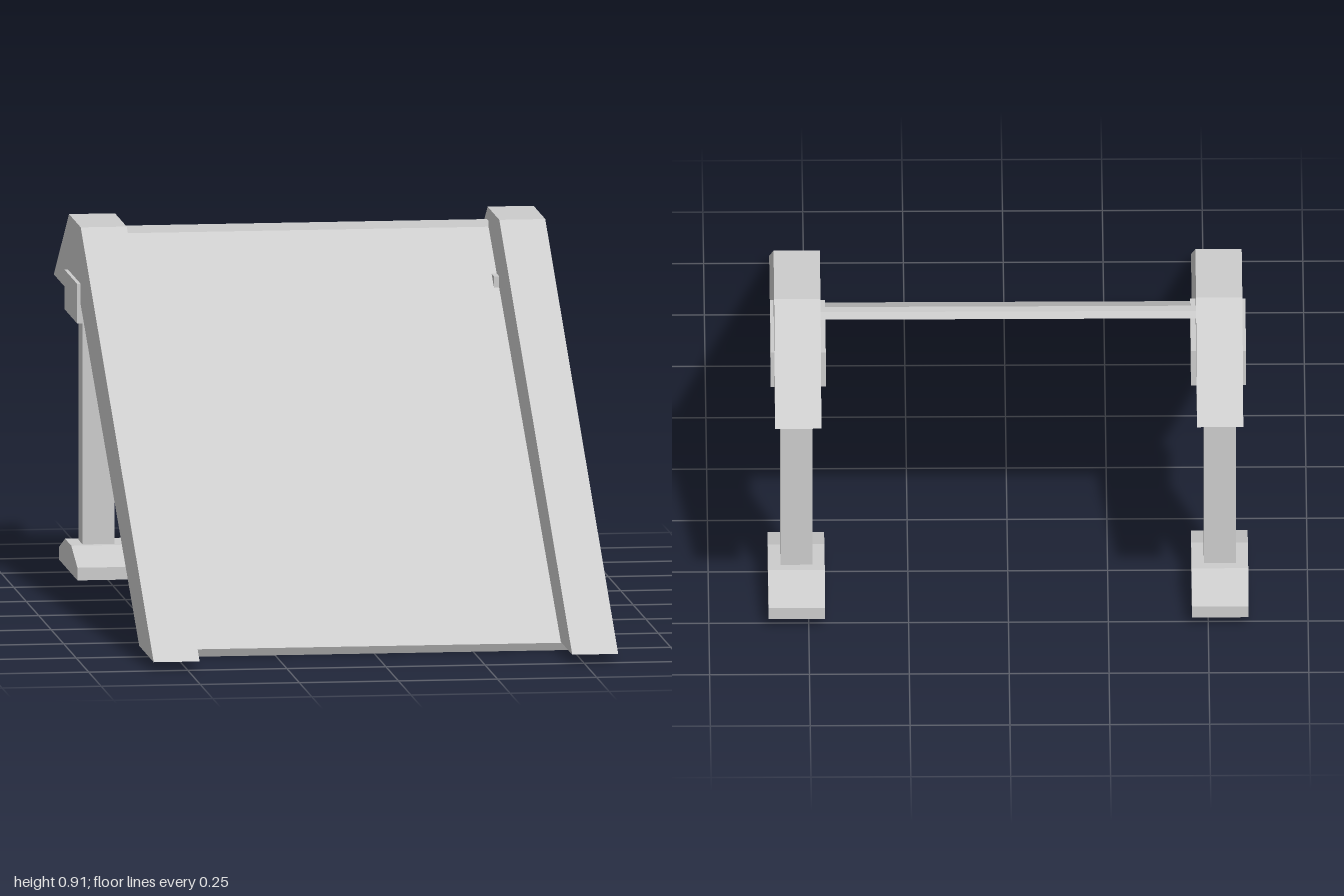
import * as THREE from 'three';

const grey = new THREE.MeshStandardMaterial({ color: 0xcccccc });
grey.name = 'light grey';

// Extrudes a [z, y] side profile across x, centred on the given x
function sideProfile(name, points, width, x = 0) {
  const shape = new THREE.Shape(points.map(([z, y]) => new THREE.Vector2(z, y)));
  const geometry = new THREE.ExtrudeGeometry(shape, { depth: width, bevelEnabled: false });
  geometry.translate(0, 0, -width / 2);
  geometry.rotateY(-Math.PI / 2);
  const mesh = new THREE.Mesh(geometry, grey);
  mesh.name = name;
  mesh.position.x = x;
  return mesh;
}

function box(name, w, h, d, x, y, z) {
  const mesh = new THREE.Mesh(new THREE.BoxGeometry(w, h, d), grey);
  mesh.name = name;
  mesh.position.set(x, y, z);
  return mesh;
}

export function createModel() {
  const model = new THREE.Group();
  model.name = 'ramp';

  // Sloping deck with a small raised lip at the top edge
  model.add(sideProfile('deck', [
    [0.775, 0.02], [0.765, 0], [-0.715, 0.864], [-0.705, 0.88], [-0.68, 0.88], [-0.675, 0.865],
  ], 0.99));

  for (const [side, s] of [['left', 1], ['right', -1]]) {
    // Side rail: long incline, short flat crest, pointed tail
    model.add(sideProfile(side + 'Rail', [
      [1, 0.022], [0.71, 0.022], [-0.46, 0.717], [-1, 0.717], [-0.695, 0.913], [-0.46, 0.913],
    ], 0.116, s * 0.528));

    // Support leg: bracket, column and chamfered foot
    const leg = new THREE.Group();
    leg.name = side + 'Leg';
    leg.add(box('bracket', 0.138, 0.1, 0.255, s * 0.526, 0.72, -0.59));
    leg.add(box('column', 0.08, 0.6, 0.08, s * 0.53, 0.385, -0.59));
    leg.add(sideProfile('foot', [
      [-0.407, 0.028], [-0.407, 0.06], [-0.53, 0.098], [-0.655, 0.098], [-0.777, 0.06], [-0.777, 0.028],
    ], 0.142, s * 0.53));
    model.add(leg);
  }
  return model;
}
